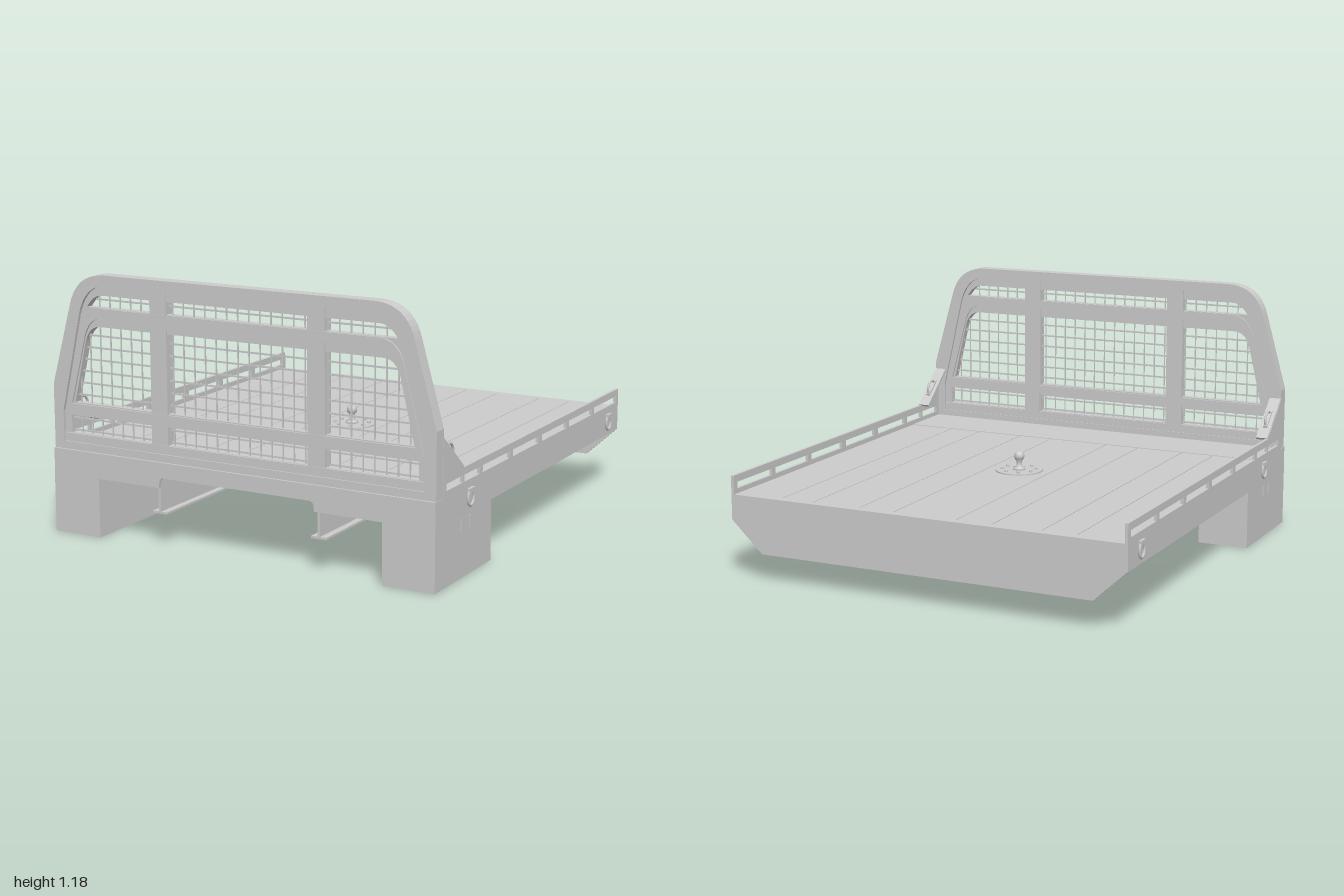
import * as THREE from 'three';

const grey = new THREE.MeshStandardMaterial({ color: 0xcccccc, flatShading: true });
const smooth = new THREE.MeshStandardMaterial({ color: 0xcccccc });

export function createModel() {
  const root = new THREE.Group();
  root.name = 'flatbedBody';

  const add = (name, geo, mat = grey, parent = root) => {
    const m = new THREE.Mesh(geo, mat);
    m.name = name;
    parent.add(m);
    return m;
  };
  // Box given by its extents
  const box = (name, x0, x1, y0, y1, z0, z1) =>
    add(name, new THREE.BoxGeometry(x1 - x0, y1 - y0, z1 - z0)
      .translate((x0 + x1) / 2, (y0 + y1) / 2, (z0 + z1) / 2));
  const poly = (pts) => new THREE.Shape(pts.map(([x, y]) => new THREE.Vector2(x, y)));
  const rect = (x0, x1, y0, y1) => poly([[x0, y0], [x1, y0], [x1, y1], [x0, y1]]);
  const plate = (name, shape, z0, z1) =>
    add(name, new THREE.ExtrudeGeometry(shape, { depth: z1 - z0, bevelEnabled: false, curveSegments: 10 })
      .translate(0, 0, z0));
  // Symmetric arch: straight foot, sloping leg, rounded shoulder, flat top
  const arch = (bx, by, ky, sx, sy, cx, tx, ty) => {
    const s = new THREE.Shape();
    s.moveTo(-bx, by);
    s.lineTo(bx, by);
    s.lineTo(bx, ky);
    s.lineTo(sx, sy);
    s.quadraticCurveTo(cx, ty, tx, ty);
    s.lineTo(-tx, ty);
    s.quadraticCurveTo(-cx, ty, -sx, sy);
    s.lineTo(-bx, ky);
    s.closePath();
    return s;
  };

  // ---- Deck: planks separated by narrow grooves over a thin sheet ----
  const seams = [-0.94, -0.71, -0.55, -0.32, -0.15, 0.15, 0.32, 0.55, 0.71, 0.94];
  for (let i = 0; i < seams.length - 1; i++)
    box('deckPlank', seams[i] + 0.002, seams[i + 1] - 0.002, 0.378, 0.388, -0.96, 0.64);
  box('deckSheet', -0.94, 0.94, 0.366, 0.38, -0.99, 0.985);
  box('deckRearEdge', -0.94, 0.94, 0.37, 0.388, -0.99, -0.96);
  box('deckFrontPanel', -0.94, 0.94, 0.37, 0.39, 0.643, 0.99);

  // ---- Round hitch plate with ball and bolts ----
  const hitch = new THREE.Group();
  hitch.name = 'hitch';
  hitch.position.set(0, 0.388, -0.035);
  root.add(hitch);
  add('hitchPlate', new THREE.CylinderGeometry(0.11, 0.11, 0.006, 40).translate(0, 0.003, 0), grey, hitch);
  const ball = [[0, 0], [0.03, 0], [0.03, 0.015], [0.013, 0.02], [0.013, 0.045], [0.022, 0.058],
    [0.025, 0.07], [0.021, 0.083], [0.012, 0.091], [0, 0.093]];
  add('hitchBall', new THREE.LatheGeometry(ball.map(([x, y]) => new THREE.Vector2(x, y)), 20), smooth, hitch);
  for (let i = 0; i < 8; i++) {
    const a = (i + 0.5) * Math.PI / 4;
    add('hitchBolt', new THREE.CylinderGeometry(0.009, 0.009, 0.012, 8)
      .translate(Math.cos(a) * 0.08, 0.008, Math.sin(a) * 0.08), grey, hitch);
  }

  // ---- Rear skirt with chamfered lower corners ----
  plate('rearSkirt', poly([[-0.8, 0.13], [0.8, 0.13], [0.95, 0.27], [0.95, 0.388], [-0.95, 0.388], [-0.95, 0.27]]),
    -1, -0.988);

  // ---- Front apron with centre notch ----
  plate('frontApron', poly([[-0.95, 0.27], [-0.39, 0.27], [-0.385, 0.305], [-0.37, 0.315], [0.37, 0.315],
    [0.385, 0.305], [0.39, 0.27], [0.95, 0.27], [0.95, 0.385], [-0.95, 0.385]]), 0.985, 1);

  // ---- Underframe ----
  for (const z of [-0.5, 0.0, 0.5]) box('crossMember', -0.935, 0.935, 0.31, 0.367, z - 0.02, z + 0.02);
  for (const s of [-1, 1]) {
    const x = s * 0.4;
    box('frameRailWeb', x - 0.006, x + 0.006, 0.15, 0.367, -0.988, 0.98);
    box('frameRailLowerFlange', x - 0.037, x + 0.037, 0.148, 0.158, -0.988, 0.98);
    box('frameRailUpperFlange', x - 0.037, x + 0.037, 0.357, 0.367, -0.988, 0.98);
  }

  // ---- Sides ----
  const slots = [[0.58, 0.732], [0.748, 0.9], [0.28, 0.555], [-0.03, 0.245], [-0.35, -0.07],
    [-0.66, -0.38], [-0.97, -0.69]];
  for (const s of [-1, 1]) {
    const prefix = s > 0 ? 'left' : 'right';
    // Side panel, slotted rail and gusset cut from one sheet
    const side = poly([[-1, 0.27], [0.998, 0.27], [0.998, 0.385], [0.93, 0.385], [0.93, 0.635],
      [0.735, 0.473], [-1, 0.473]]);
    slots.forEach(([a, b]) => side.holes.push(rect(a, b, 0.41, 0.44)));
    add(prefix + 'SidePanel', new THREE.ExtrudeGeometry(side, { depth: 0.014, bevelEnabled: false })
      .rotateY(-Math.PI / 2).translate(s > 0 ? 0.952 : -0.938, 0, 0));
    const xs = (a, b) => (s > 0 ? [a, b] : [-b, -a]);
    box(prefix + 'SideLip', ...xs(0.885, 0.94), 0.27, 0.282, -0.988, 0.985);
    box(prefix + 'ToolBox', ...xs(0.71, 0.952), 0, 0.272, 0.465, 1);

    // Sloping gusset cap with a grab loop
    const cap = new THREE.Group();
    cap.name = prefix + 'GussetCap';
    cap.position.set(s * 0.922, 0.553, 0.832);
    cap.rotation.x = -Math.atan2(0.162, 0.195);
    root.add(cap);
    add('capPlate', new THREE.BoxGeometry(0.056, 0.012, 0.25), grey, cap);
    const loop = add('grabLoop', new THREE.TorusGeometry(0.04, 0.006, 8, 16, Math.PI).rotateY(-Math.PI / 2), smooth, cap);
    loop.position.set(0, 0.004, -0.01);
    add('grabLoopBase', new THREE.BoxGeometry(0.02, 0.012, 0.1).translate(0, 0.008, -0.01), grey, cap);

    // Tie-down rings
    for (const z of [0.68, -0.865]) {
      const ring = add('tieRing', new THREE.TorusGeometry(0.028, 0.006, 8, 24).scale(1, 1.25, 1)
        .rotateY(Math.PI / 2), smooth);
      ring.position.set(s * 0.958, 0.333, z);
      box('tieRingBracket', ...xs(0.95, 0.966), 0.352, 0.374, z - 0.024, z + 0.024);
    }
    // Tool box latch
    for (const z of [0.68, 0.76]) box('latchTab', ...xs(0.95, 0.957), 0.205, 0.255, z - 0.004, z + 0.004);
  }

  // ---- Headboard: heavy outer frame ----
  const outer = arch(0.95, 0.385, 0.675, 0.848, 1.04, 0.81, 0.66, 1.182);
  outer.holes.push(arch(0.9, 0.42, 0.56, 0.8, 1.0, 0.765, 0.655, 1.135));
  plate('headboardFrame', outer, 0.926, 0.99);

  // Recessed inner panel with window openings
  const panel = arch(0.91, 0.41, 0.56, 0.81, 1.0, 0.775, 0.655, 1.145);
  for (const [y0, y1] of [[0.46, 0.54], [0.6, 0.95], [1.035, 1.09]])
    panel.holes.push(rect(-0.348, 0.345, y0, y1));
  for (const s of [-1, 1]) {
    panel.holes.push(poly([[s * 0.432, 0.46], [s * 0.865, 0.46], [s * 0.865, 0.54], [s * 0.432, 0.54]]));
    const main = poly([[s * 0.432, 0.95], [s * 0.432, 0.6], [s * 0.843, 0.6], [s * 0.78, 0.87]]);
    main.quadraticCurveTo(s * 0.76, 0.95, s * 0.7, 0.95);
    const top = poly([[s * 0.432, 1.09], [s * 0.432, 1.035], [s * 0.765, 1.035]]);
    top.quadraticCurveTo(s * 0.735, 1.085, s * 0.69, 1.09);
    panel.holes.push(main, top);
  }
  plate('headboardPanel', panel, 0.938, 0.976);

  // Raised inner arch, cross bar and lower sill
  const inner = arch(0.89, 0.555, 0.56, 0.8, 0.92, 0.775, 0.68, 1.033);
  inner.holes.push(arch(0.855, 0.595, 0.6, 0.783, 0.88, 0.76, 0.675, 0.992));
  plate('innerArch', inner, 0.93, 0.984);
  box('lowerSill', -0.9, 0.9, 0.42, 0.458, 0.93, 0.984);
  for (const s of [-1, 1])
    box('headboardPost', s * 0.39 - 0.042, s * 0.39 + 0.042, 0.42, 1.14, 0.93, 0.982);

  // ---- Wire mesh, trimmed to the sloping sides ----
  const mesh = new THREE.Group();
  mesh.name = 'wireMesh';
  root.add(mesh);
  for (let i = -15; i <= 15; i++) {
    const x = i * 0.0545;
    const y1 = Math.min(1.1, 0.6 + (0.87 - Math.abs(x)) / 0.3);
    add('verticalWire', new THREE.BoxGeometry(0.005, y1 - 0.45, 0.005)
      .translate(x, (0.45 + y1) / 2, 0.96), grey, mesh);
  }
  for (let y = 0.47; y < 1.09; y += 0.0545) {
    const hw = y < 0.6 ? 0.875 : 0.87 - (y - 0.6) * 0.3;
    add('horizontalWire', new THREE.BoxGeometry(2 * hw, 0.008, 0.005).translate(0, y, 0.955), grey, mesh);
  }
  return root;
}
